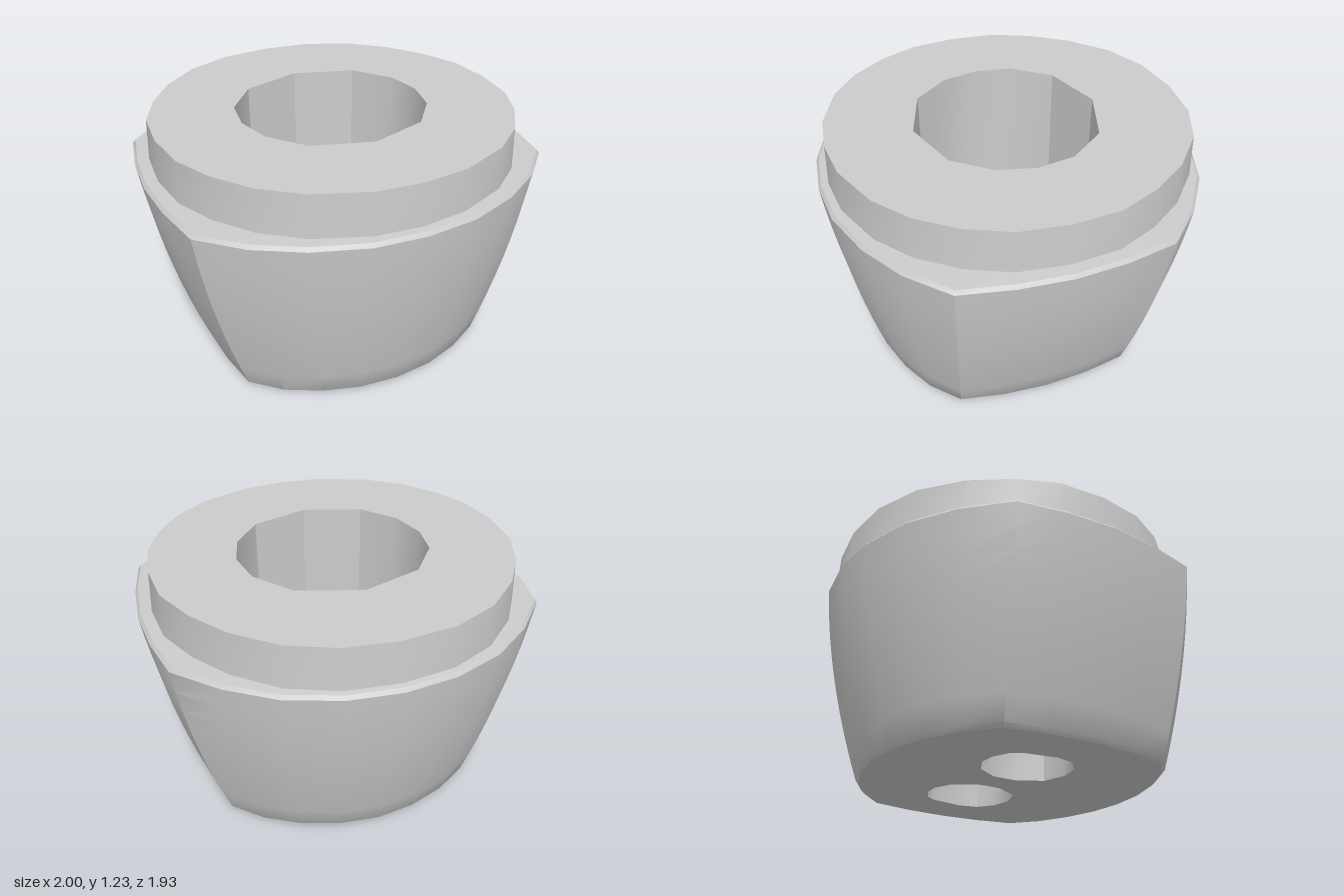
import * as THREE from 'three';
import { toCreasedNormals } from 'three/addons/utils/BufferGeometryUtils.js';

const material = new THREE.MeshStandardMaterial({ color: 0xcccccc });

// Complete a half outline of [x, z] points by mirroring it in x
const mirrored = half => [...half, ...half.slice(1, -1).reverse().map(([x, z]) => [-x, z])];

const RIM = mirrored([[0, -0.97], [0.26, -0.94], [0.52, -0.845], [0.74, -0.69], [0.93, -0.49], [0.98, -0.24],
  [1, 0.02], [0.98, 0.28], [0.93, 0.54], [0.74, 0.72], [0.52, 0.85], [0.26, 0.94], [0, 0.965]]);
const BASE = mirrored([[0, -0.745], [0.2, -0.72], [0.39, -0.655], [0.56, -0.555], [0.7, -0.42], [0.74, -0.2],
  [0.755, 0.03], [0.74, 0.26], [0.7, 0.48], [0.56, 0.61], [0.39, 0.7], [0.2, 0.76], [0, 0.78]]);
const NECK = mirrored([[0, -0.92], [0.26, -0.89], [0.49, -0.79], [0.68, -0.62], [0.81, -0.43], [0.9, -0.22],
  [0.92, 0.02], [0.89, 0.26], [0.8, 0.46], [0.665, 0.64], [0.485, 0.78], [0.23, 0.88], [0, 0.905]]);
const RECESS = mirrored([[0, -0.475], [0.31, -0.375], [0.46, -0.18], [0.49, 0.01], [0.445, 0.2], [0.3, 0.38], [0, 0.475]]);
const HOLE = [[0.08, -0.1], [0.15, -0.215], [0.25, -0.265], [0.34, -0.26], [0.42, -0.22], [0.455, -0.17],
  [0.485, 0.01], [0.462, 0.11], [0.38, 0.18], [0.27, 0.2], [0.15, 0.16], [0.08, 0.03]];
const HOLES = [HOLE, HOLE.map(([x, z]) => [-x, z]).reverse()];

const TOP = 1.225, FLOOR = 0.165;
const scaled = (loop, s) => loop.map(([x, z]) => [x * s, z * s]);
const blend = (a, b, t) => a.map(([x, z], i) => [x + (b[i][0] - x) * t, z + (b[i][1] - z) * t]);

// Skin a stack of { loop, y } sections; rising sections face out, falling ones face in
function loft(sections) {
  const n = sections[0].loop.length, positions = [], index = [];
  sections.forEach(({ loop, y }) => loop.forEach(([x, z]) => positions.push(x, y, z)));
  for (let k = 0; k < sections.length - 1; k++) {
    for (let i = 0; i < n; i++) {
      const a = k * n + i, b = k * n + (i + 1) % n;
      index.push(a, a + n, b, b, a + n, b + n);
    }
  }
  const geometry = new THREE.BufferGeometry();
  geometry.setAttribute('position', new THREE.Float32BufferAttribute(positions, 3));
  geometry.setIndex(index);
  return toCreasedNormals(geometry, 0.56);
}

// Flat horizontal face with openings; facing is 1 for up, -1 for down
function plate(outline, openings, y, facing) {
  const points = loop => loop.map(([x, z]) => new THREE.Vector2(x, -z * facing));
  const shape = new THREE.Shape(points(outline));
  shape.holes = openings.map(loop => new THREE.Path(points(loop)));
  return new THREE.ShapeGeometry(shape).rotateX(-facing * Math.PI / 2).translate(0, y, 0);
}

export function createModel() {
  const model = new THREE.Group();
  const add = (name, geometry) => {
    const mesh = new THREE.Mesh(geometry, material);
    mesh.name = name;
    model.add(mesh);
  };

  // Bulging body with small bevels at base and shoulder
  const sections = [{ loop: scaled(BASE, 0.975), y: 0 }];
  const steps = 8;
  for (let i = 0; i <= steps; i++) {
    const t = i / steps;
    sections.push({ loop: blend(BASE, RIM, t * (1.48 - 0.48 * t)), y: 0.02 + 0.97 * t });
  }
  sections.push({ loop: scaled(RIM, 0.985), y: 1.008 }, { loop: scaled(NECK, 1.01), y: 1.012 });
  add('body', loft(sections));
  add('base', plate(scaled(BASE, 0.975), HOLES, 0, -1));

  // Raised neck and its flat rim
  add('neck', loft([{ loop: scaled(NECK, 1.01), y: 1.012 }, { loop: NECK, y: TOP }]));
  add('neckRim', plate(NECK, [RECESS], TOP, 1));

  // Deep central recess
  add('recessWall', loft([{ loop: RECESS, y: TOP }, { loop: RECESS, y: FLOOR }]));
  add('recessFloor', plate(RECESS, HOLES, FLOOR, 1));

  // Two through holes in the floor
  HOLES.forEach((loop, i) =>
    add(i ? 'rightHole' : 'leftHole', loft([{ loop, y: FLOOR }, { loop, y: 0 }])));

  return model;
}
